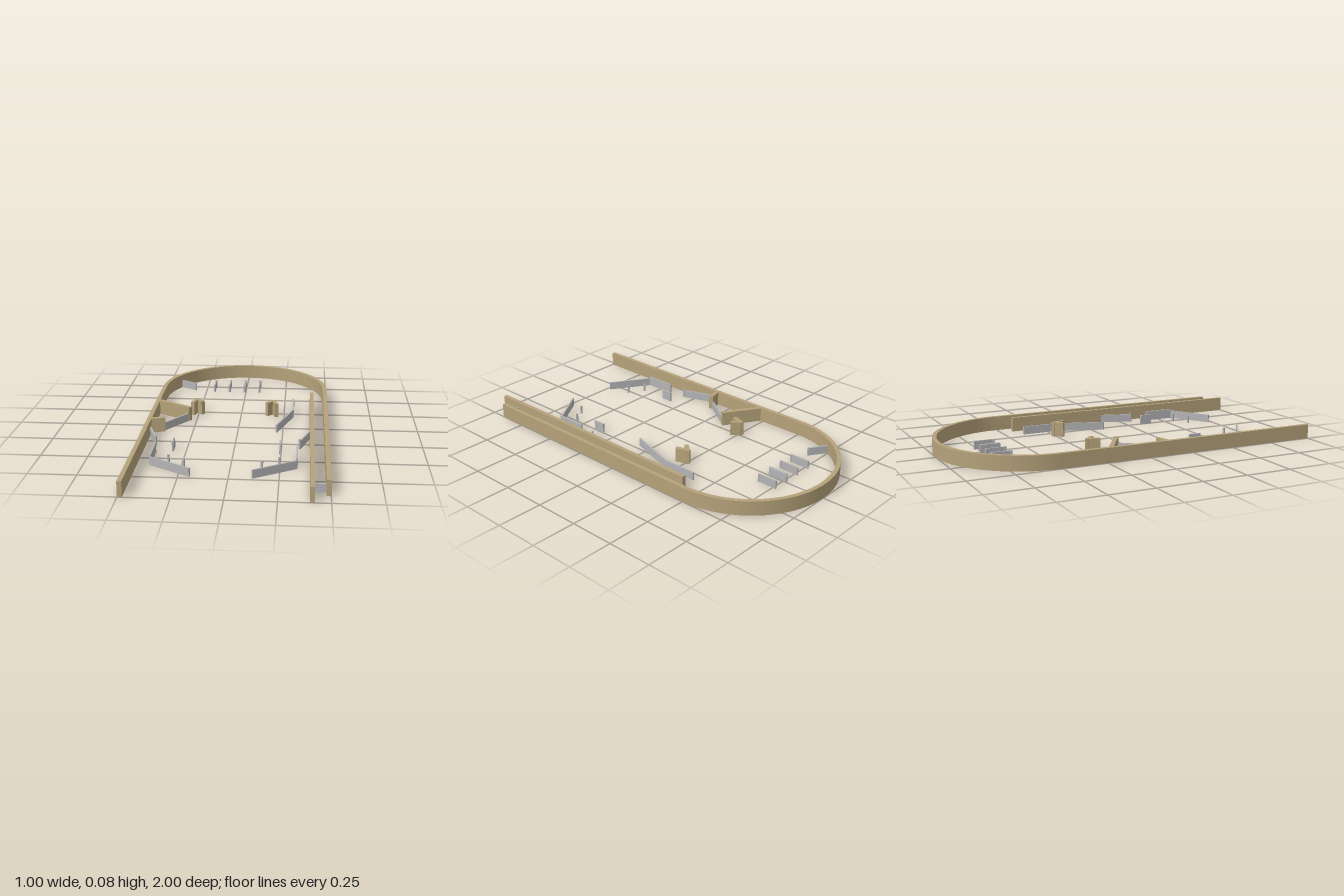
import * as THREE from 'three';
import { toCreasedNormals } from 'three/addons/utils/BufferGeometryUtils.js';

export function createModel() {
  const model = new THREE.Group();
  const wood = new THREE.MeshStandardMaterial({ color: 0xb5a27a });
  wood.name = 'wood';
  const metal = new THREE.MeshStandardMaterial({ color: 0xb4b4b6 });
  metal.name = 'metal';
  const TALL = 0.08, LOW = 0.045, CAP = 0.055;

  function add(name, geometry, material) {
    const mesh = new THREE.Mesh(geometry, material);
    mesh.name = name;
    model.add(mesh);
    return mesh;
  }

  // Straight upright wall between two [x, z] floor points
  function wall(name, a, b, thickness, height, material) {
    const dx = b[0] - a[0], dz = b[1] - a[1];
    const mesh = add(name, new THREE.BoxGeometry(Math.hypot(dx, dz), height, thickness), material);
    mesh.position.set((a[0] + b[0]) / 2, height / 2, (a[1] + b[1]) / 2);
    mesh.rotation.y = Math.atan2(-dz, dx);
  }
  const rail = (name, a, b, height = LOW) => wall(name, a, b, 0.009, height, metal);

  function post(name, [x, z], height = LOW, radius = 0.0065) {
    add(name, new THREE.CylinderGeometry(radius, radius, height, 16), metal).position.set(x, height / 2, z);
  }

  // Outer wall: two straight sides joined by a half-circle (shape y becomes -z)
  const outline = new THREE.Shape();
  outline.moveTo(0.5, -0.915);
  outline.lineTo(0.5, 0.5);
  outline.absarc(0, 0.5, 0.5, 0, Math.PI, false);
  outline.lineTo(-0.5, -1);
  outline.lineTo(-0.477, -1);
  outline.lineTo(-0.477, 0.5);
  outline.absarc(0, 0.5, 0.477, Math.PI, 0, true);
  outline.lineTo(0.477, -0.915);
  outline.closePath();
  const outer = new THREE.ExtrudeGeometry(outline, { depth: TALL, bevelEnabled: false, curveSegments: 48 });
  outer.rotateX(-Math.PI / 2);
  add('outerWall', toCreasedNormals(outer, 0.5), wood);

  // Launch lane
  wall('launchLaneWall', [0.411, -0.43], [0.411, 1], 0.022, TALL, wood);
  rail('launchLaneStop', [0.42, 0.875], [0.478, 0.875]);

  // Left side pocket
  wall('pocketUpperWall', [-0.482, -0.225], [-0.285, -0.1], 0.024, TALL, wood);
  wall('pocketLowerWall', [-0.482, 0.103], [-0.405, 0.085], 0.024, TALL, wood);
  rail('pocketRail', [-0.293, -0.1], [-0.415, 0.08]);

  // Chevron blocks, mirrored about the playfield centre line
  const MID = -0.0375;
  for (const s of [-1, 1]) {
    const at = (d, z) => [MID + s * d, z];
    wall('chevronOuterArm', at(0.222, -0.268), at(0.246, -0.193), 0.022, TALL, wood);
    wall('chevronInnerArm', at(0.231, -0.264), at(0.186, -0.214), 0.022, TALL, wood);

    // Lower side guides, slings and posts
    rail('outlaneGuide', at(0.443, 0.14), at(0.384, 0.315));
    post('outlaneGuideEnd', at(0.384, 0.315), CAP, 0.006);
    rail('inlaneUpright', at(0.372, 0.415), at(0.372, 0.593), CAP);
    rail('inlaneSlope', at(0.374, 0.59), at(0.154, 0.731));
    rail('shortLaneGuide', at(0.2825, 0.33), at(0.2825, 0.4), CAP);
    post('slingPost', at(0.2825, 0.555));
    post('slingPost', at(0.1975, 0.612));
  }

  // Right orbit guide
  rail('orbitGuide', [0.303, -0.395], [0.303, -0.2]);
  rail('orbitGuide', [0.303, -0.202], [0.217, 0.065]);
  post('orbitGuideEnd', [0.303, -0.395], LOW, 0.006);
  post('orbitGuideEnd', [0.217, 0.065]);

  // Upper left deflector
  rail('deflector', [-0.418, -0.747], [-0.32, -0.685]);
  post('deflectorEnd', [-0.32, -0.682]);

  // Top lane dividers with rounded ends
  for (const x of [-0.197, -0.103, -0.009, 0.084]) {
    wall('topLaneDivider', [x, -0.765], [x, -0.657], x === -0.009 ? 0.014 : 0.008, LOW, metal);
    post('topLaneDividerEnd', [x, -0.763], LOW, 0.007);
    post('topLaneDividerEnd', [x, -0.659], LOW, 0.007);
  }

  return model;
}
